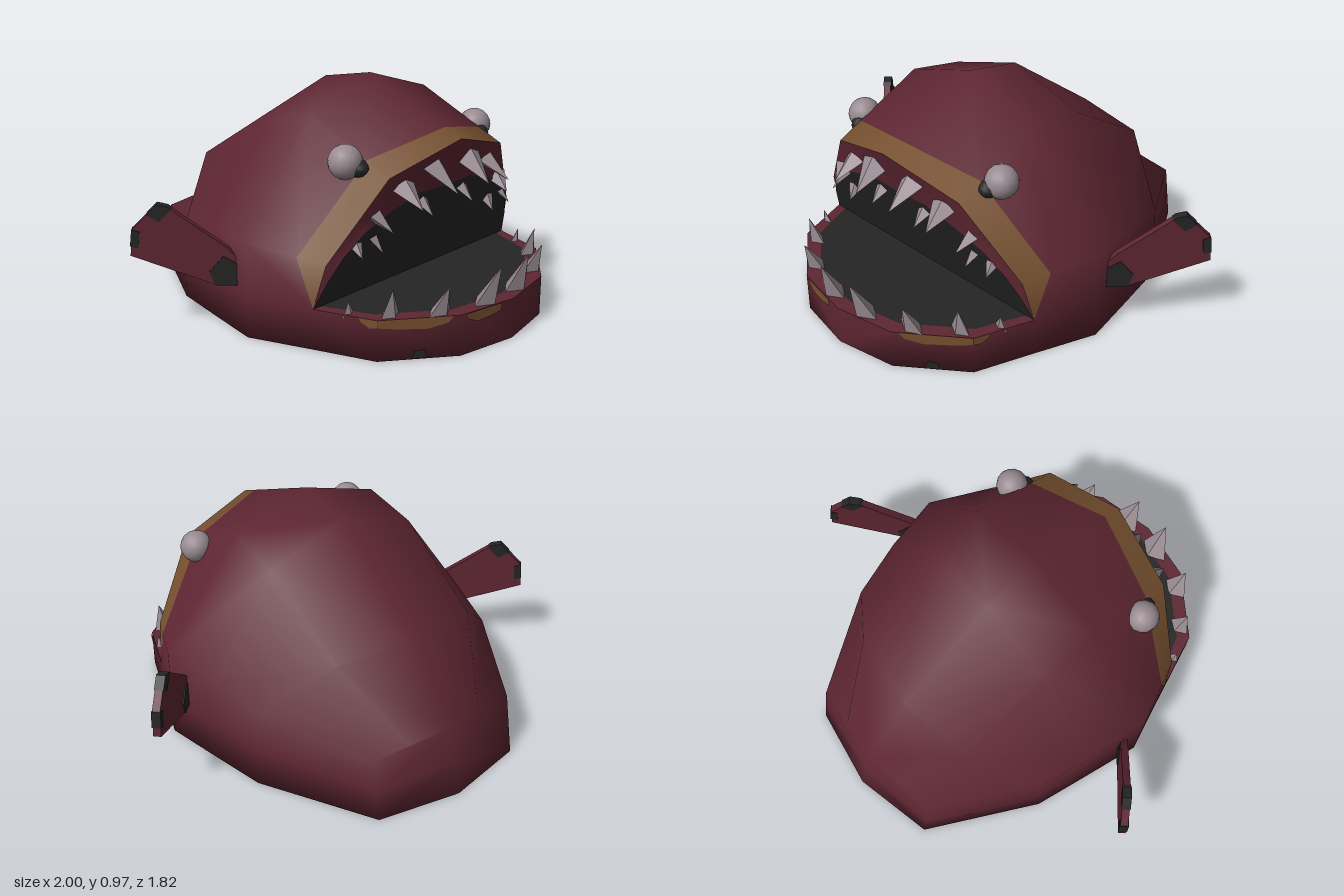
import * as THREE from 'three';
import { mergeVertices } from 'three/addons/utils/BufferGeometryUtils.js';

const mat = (name, color, side = THREE.FrontSide) => {
  const m = new THREE.MeshStandardMaterial({ color, side });
  m.name = name;
  return m;
};

// Collects quads mirrored over x = 0, one triangle list per material slot
function quadBuilder() {
  const lists = [[], []];
  const flip = p => [-p[0], p[1], p[2]];
  return {
    quad(a, b, c, d, slot = 0) {
      const [e, f, g, h] = [a, b, c, d].map(flip);
      lists[slot].push(a, b, c, a, c, d, e, g, f, e, h, g);
    },
    build() {
      let geo = new THREE.BufferGeometry();
      geo.setAttribute('position', new THREE.Float32BufferAttribute(lists.flat(2), 3));
      geo = mergeVertices(geo, 1e-4);
      geo.computeVertexNormals();
      let start = 0;
      lists.forEach((l, i) => { geo.addGroup(start, l.length, i); start += l.length; });
      return geo;
    },
  };
}

const lerp = (a, b, t) => a.map((v, i) => v + (b[i] - v) * t);

export function createModel() {
  const root = new THREE.Group();
  const maroon = mat('maroon skin', 0x5e2632);
  const brown = mat('brown marking', 0x76502f);
  const dark = mat('dark mouth', 0x252525);
  const bone = mat('pale bone', 0x988b91);
  const add = (name, geo, material, parent = root) => {
    const m = new THREE.Mesh(geo, material);
    m.name = name;
    parent.add(m);
    return m;
  };

  // Half cross-sections from the lip to the tail: base, jaw level, flank, shoulder, ridge
  const lip = [[0.62, 0, 0.41], [0.62, 0.17, 0.41], [0.59, 0.35, 0.45], [0.36, 0.67, 0.565], [0, 0.77, 0.63]];
  const widest = [[0.72, 0, 0.14], [0.72, 0.17, 0.14], [0.72, 0.4, 0.14], [0.36, 0.86, 0.14], [0, 0.97, 0.14]];
  const bandT = [0, 0, 0.36, 0.27, 0.17];
  const band = lip.map((p, i) => lerp(p, widest[i], bandT[i]));
  const sections = [
    lip, band, widest,
    [[0.67, 0, -0.12], [0.67, 0.17, -0.12], [0.67, 0.39, -0.12], [0.36, 0.81, -0.12], [0, 0.92, -0.12]],
    [[0.62, 0, -0.37], [0.62, 0.17, -0.37], [0.61, 0.33, -0.37], [0.34, 0.56, -0.54], [0, 0.58, -0.6]],
    [[0.36, 0, -0.84], [0.36, 0.13, -0.815], [0.36, 0.26, -0.79], [0.18, 0.27, -0.81], [0, 0.28, -0.83]],
    [[0, 0, -0.91], [0, 0.13, -0.87], [0, 0.28, -0.83], [0, 0.28, -0.83], [0, 0.28, -0.83]],
  ];
  // Lower jaw outline, front to mouth corner
  const jaw = [[0, 0.91], [0.27, 0.86], [0.53, 0.66], [0.62, 0.41]];
  const at = (y, k = 1) => jaw.map(([x, z], i) => [x * k, y, i === 3 ? z : z * k]);
  const jawBase = at(0), jawTop = at(0.17), jawInner = at(0.17, 0.93);

  // Body skin with the brown lip band, jaw wall and belly
  const skin = quadBuilder();
  for (let s = 0; s < sections.length - 1; s++) {
    const A = sections[s], B = sections[s + 1];
    for (let i = 0; i < 4; i++) skin.quad(A[i], B[i], B[i + 1], A[i + 1], s === 0 ? 1 : 0);
  }
  for (let i = 0; i < 3; i++) skin.quad(jawBase[i], jawBase[i + 1], jawTop[i + 1], jawTop[i]);
  const outline = [...jawBase, ...sections.slice(1).map(s => s[0])];
  for (let i = 0; i < outline.length - 1; i++) {
    const a = outline[i], b = outline[i + 1];
    skin.quad(a, [0, 0, a[2]], [0, 0, b[2]], b);
  }
  add('body', skin.build(), [maroon, brown]);

  // Jaw rim and mouth floor
  const floor = quadBuilder(), rim = quadBuilder();
  for (let i = 0; i < 3; i++) {
    const a = jawInner[i], b = jawInner[i + 1];
    rim.quad(jawTop[i], jawTop[i + 1], b, a);
    floor.quad(a, b, [0, 0.17, b[2]], [0, 0.17, a[2]]);
  }
  add('jawRim', rim.build(), [maroon, dark]);
  add('mouthFloor', floor.build(), [dark, dark]);

  // Sloping mouth wall: maroon gum above, dark throat below
  const arch = [[0.62, 0.17], [0.58, 0.28], [0.53, 0.37], [0.45, 0.46], [0.32, 0.52], [0.16, 0.57], [0, 0.56]]
    .map(([x, y]) => [x, y, 0.41 + (y - 0.17) * 0.367]);
  const edge = [lip[1]];
  for (let i = 1; i < 4; i++) edge.push(lerp(lip[i], lip[i + 1], 0.5), lip[i + 1]);
  const gum = quadBuilder(), throat = quadBuilder();
  for (let i = 0; i < 6; i++) {
    const a = arch[i], b = arch[i + 1];
    gum.quad(edge[i], edge[i + 1], b, a);
    throat.quad(a, b, [b[0], 0.17, 0.41], [a[0], 0.17, 0.41]);
  }
  add('gum', gum.build(), [maroon, dark]);
  add('throat', throat.build(), [dark, dark]);

  // Teeth: base, tip, width; mirrored on both sides
  const teeth = [
    [[0.1, 0.16, 0.845], [0.09, 0.33, 0.91], 0.15],
    [[0.31, 0.16, 0.78], [0.31, 0.29, 0.83], 0.13],
    [[0.46, 0.16, 0.66], [0.47, 0.285, 0.685], 0.11],
    [[0.55, 0.16, 0.53], [0.56, 0.225, 0.54], 0.06],
    [[0.11, 0.67, 0.575], [0.1, 0.575, 0.7], 0.14],
    [[0.27, 0.62, 0.555], [0.28, 0.545, 0.67], 0.12],
    [[0.39, 0.52, 0.52], [0.37, 0.46, 0.6], 0.1],
    [[0.13, 0.53, 0.53], [0.13, 0.47, 0.6], 0.08],
    [[0.37, 0.42, 0.49], [0.36, 0.36, 0.54], 0.07],
    [[0.47, 0.42, 0.49], [0.48, 0.37, 0.54], 0.06],
  ];
  const up = new THREE.Vector3(0, 1, 0);
  for (const side of [1, -1]) {
    for (const [b, t, w] of teeth) {
      const base = new THREE.Vector3(b[0] * side, b[1], b[2]);
      const dir = new THREE.Vector3(t[0] * side, t[1], t[2]).sub(base);
      const len = dir.length();
      const geo = new THREE.ConeGeometry(w / 2, len, 4).translate(0, len / 2, 0).scale(1, 1, 0.6).toNonIndexed();
      geo.computeVertexNormals();
      const tooth = add('tooth', geo, bone);
      tooth.quaternion.setFromUnitVectors(up, dir.normalize());
      tooth.position.copy(base);
    }

    // Eye with a dark socket mark in front of it
    add('eye', new THREE.SphereGeometry(0.07, 14, 10), bone).position.set(0.413 * side, 0.713, 0.385);
    const socket = add('eyeSocket', new THREE.SphereGeometry(0.055, 10, 8), dark);
    socket.scale.set(0.8, 0.7, 1);
    socket.position.set(0.385 * side, 0.69, 0.42);

    // Side fin, swept back at 45 degrees, with dark patches
    const fin = new THREE.Group();
    fin.name = 'fin';
    fin.position.set(0.68 * side, 0, 0.07);
    fin.rotation.y = side > 0 ? Math.PI / 4 : Math.PI * 3 / 4;
    root.add(fin);
    const slab = (name, pts, depth, material) => {
      const shape = new THREE.Shape(pts.map(([x, y]) => new THREE.Vector2((x - 0.68) * Math.SQRT2, y)));
      const geo = new THREE.ExtrudeGeometry(shape, { depth, bevelEnabled: false }).translate(0, 0, -depth / 2);
      add(name, geo, material, fin);
    };
    slab('finBlade', [[0.68, 0.22], [0.75, 0.2], [0.988, 0.33], [0.98, 0.44], [0.91, 0.54], [0.88, 0.53], [0.72, 0.36], [0.68, 0.3]], 0.032, maroon);
    slab('finRootPatch', [[0.68, 0.2], [0.755, 0.2], [0.77, 0.26], [0.73, 0.325], [0.68, 0.28]], 0.038, dark);
    slab('finTipPatch', [[0.87, 0.52], [0.88, 0.532], [0.91, 0.542], [0.94, 0.5], [0.905, 0.47]], 0.038, dark);
    slab('finEdgePatch', [[0.982, 0.44], [0.988, 0.37], [0.965, 0.36], [0.96, 0.43]], 0.038, dark);
  }

  // Painted patches on the jaw wall, laid along an outline segment
  const paint = (name, P, Q, pts, material) => {
    const dx = Q[0] - P[0], dz = Q[1] - P[1], len = Math.hypot(dx, dz);
    const shape = new THREE.Shape(pts.map(([u, y]) => new THREE.Vector2(u * len, y)));
    const m = add(name, new THREE.ShapeGeometry(shape), material);
    m.rotation.y = Math.atan2(-dz, dx);
    m.position.set(P[0], 0, P[1]);
    m.translateZ(0.004);
  };
  const drip = [[0.1, 0.17], [0.16, 0.145], [0.4, 0.125], [0.75, 0.13], [1, 0.14], [1, 0.17]];
  const tail = [[0, 0.17], [0, 0.14], [0.12, 0.135], [0.25, 0.155], [0.28, 0.17]];
  const spot = [[0.4, 0.005], [0.58, 0.005], [0.56, 0.035], [0.44, 0.04]];
  const flipU = pts => pts.map(([u, y]) => [1 - u, y]).reverse();
  const neg = p => [-p[0], p[1]];
  paint('jawPatch', jaw[1], jaw[2], drip, brown);
  paint('jawPatch', neg(jaw[2]), neg(jaw[1]), flipU(drip), brown);
  paint('jawPatch', jaw[2], jaw[3], tail, brown);
  paint('jawPatch', neg(jaw[3]), neg(jaw[2]), flipU(tail), brown);
  paint('jawPatch', neg(jaw[1]), neg(jaw[0]), drip.map(([u, y]) => [u * 0.75, y]), brown);
  paint('jawSpot', jaw[1], jaw[2], spot, dark);
  paint('jawSpot', neg(jaw[2]), neg(jaw[1]), flipU(spot), dark);

  return root;
}
